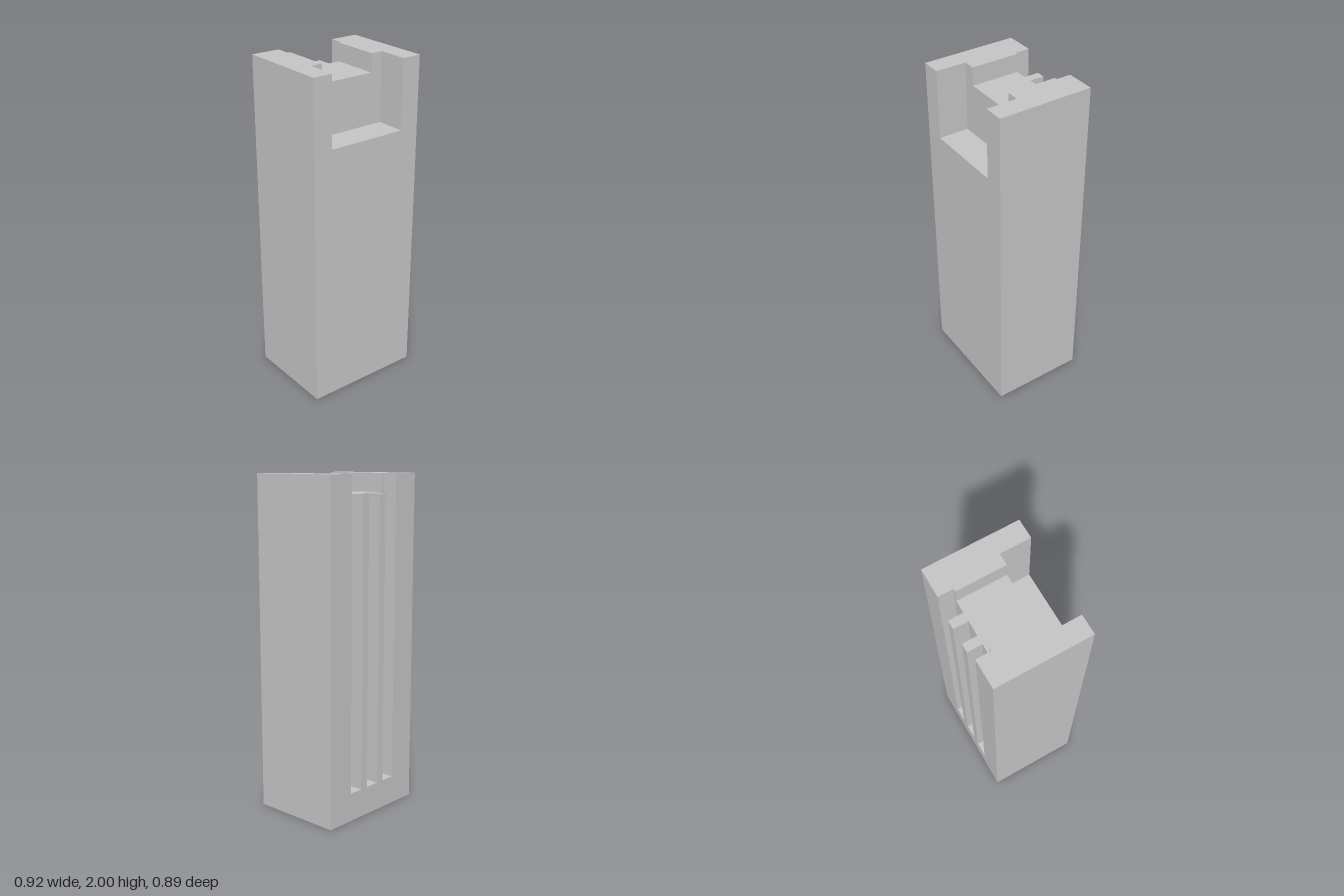
import * as THREE from 'three';

// Plan coordinates are [x, b], b pointing to the back; outlines run counter-clockwise.
const W = 0.363, D = 0.2825;          // half width, half depth of the block
const S = 0.1945;                     // inner wall of the back grooves
const P = 0.244, F = 0.1;             // front recess half width, its back wall
const N = 0.172;                      // half width of the top notch
const GROOVES = [[0.098, 0.189], [-0.0455, 0.0455], [-0.189, -0.098]];
const Y_GROOVE = 0.17, Y_RECESS = 1.585, Y_NOTCH = 1.89, Y_TOP = 2;

const rect = (l, r, f, b) => [[l, f], [r, f], [r, b], [l, b]];
const mirror = (pts) => pts.map(([x, b]) => [-x, b]).reverse();

export function createModel() {
  const group = new THREE.Group();
  const grey = new THREE.MeshStandardMaterial({ color: 0xc4c4c4 });
  grey.name = 'plain grey';

  const add = (name, geometry) => {
    const mesh = new THREE.Mesh(geometry, grey);
    mesh.name = name;
    group.add(mesh);
  };

  // Vertical walls around a closed outline
  const walls = (name, pts, y0, y1) => {
    const pos = [];
    pts.forEach(([px, pb], i) => {
      const [qx, qb] = pts[(i + 1) % pts.length];
      pos.push(px, y0, -pb, qx, y0, -qb, qx, y1, -qb);
      pos.push(px, y0, -pb, qx, y1, -qb, px, y1, -pb);
    });
    const g = new THREE.BufferGeometry();
    g.setAttribute('position', new THREE.Float32BufferAttribute(pos, 3));
    g.computeVertexNormals();
    add(name, g);
  };

  // Horizontal face filling an outline
  const level = (name, pts, y, down = false) => {
    const shape = new THREE.Shape(pts.map(([x, b]) => new THREE.Vector2(x, b)));
    const g = new THREE.ShapeGeometry(shape);
    g.rotateX(down ? Math.PI / 2 : -Math.PI / 2);
    g.translate(0, y, 0);
    add(name, g);
  };

  // Back edge with its three grooves, from right to left
  const back = [[W, D], ...GROOVES.flatMap(([l, r]) => [[r, D], [r, S], [l, S], [l, D]]), [-W, D]];

  // Solid foot
  level('underside', rect(-W, W, -D, D), 0, true);
  walls('foot', rect(-W, W, -D, D), 0, Y_GROOVE);

  // Grooved shaft
  GROOVES.forEach(([l, r]) => level('grooveFloor', rect(l, r, S, D), Y_GROOVE));
  walls('shaft', [[-W, -D], [W, -D], ...back], Y_GROOVE, Y_RECESS);

  // Section with the front recess
  level('recessFloor', rect(-P, P, -D, -F), Y_RECESS);
  walls('recessedSection',
    [[-W, -D], [-P, -D], [-P, -F], [P, -F], [P, -D], [W, -D], ...back], Y_RECESS, Y_NOTCH);

  // Notch floor, with ribs reaching back between the grooves
  const notchHalf = [[N, -F], [N, S], [0.098, S], [0.098, D], [0.0455, D], [0.0455, S]];
  level('notchFloor', [...notchHalf, ...mirror(notchHalf)], Y_NOTCH);

  // Two posts either side of the notch
  const post = [[P, -D], [W, -D], [W, D], [0.189, D], [0.189, S], [N, S], [N, -F], [P, -F]];
  [['leftPost', post], ['rightPost', mirror(post)]].forEach(([name, pts]) => {
    walls(name, pts, Y_NOTCH, Y_TOP);
    level(name + 'Top', pts, Y_TOP);
  });

  // The block stands turned on the ground
  group.rotation.y = 0.656;
  const model = new THREE.Group();
  model.name = 'groovedBlock';
  group.name = 'block';
  model.add(group);
  return model;
}
